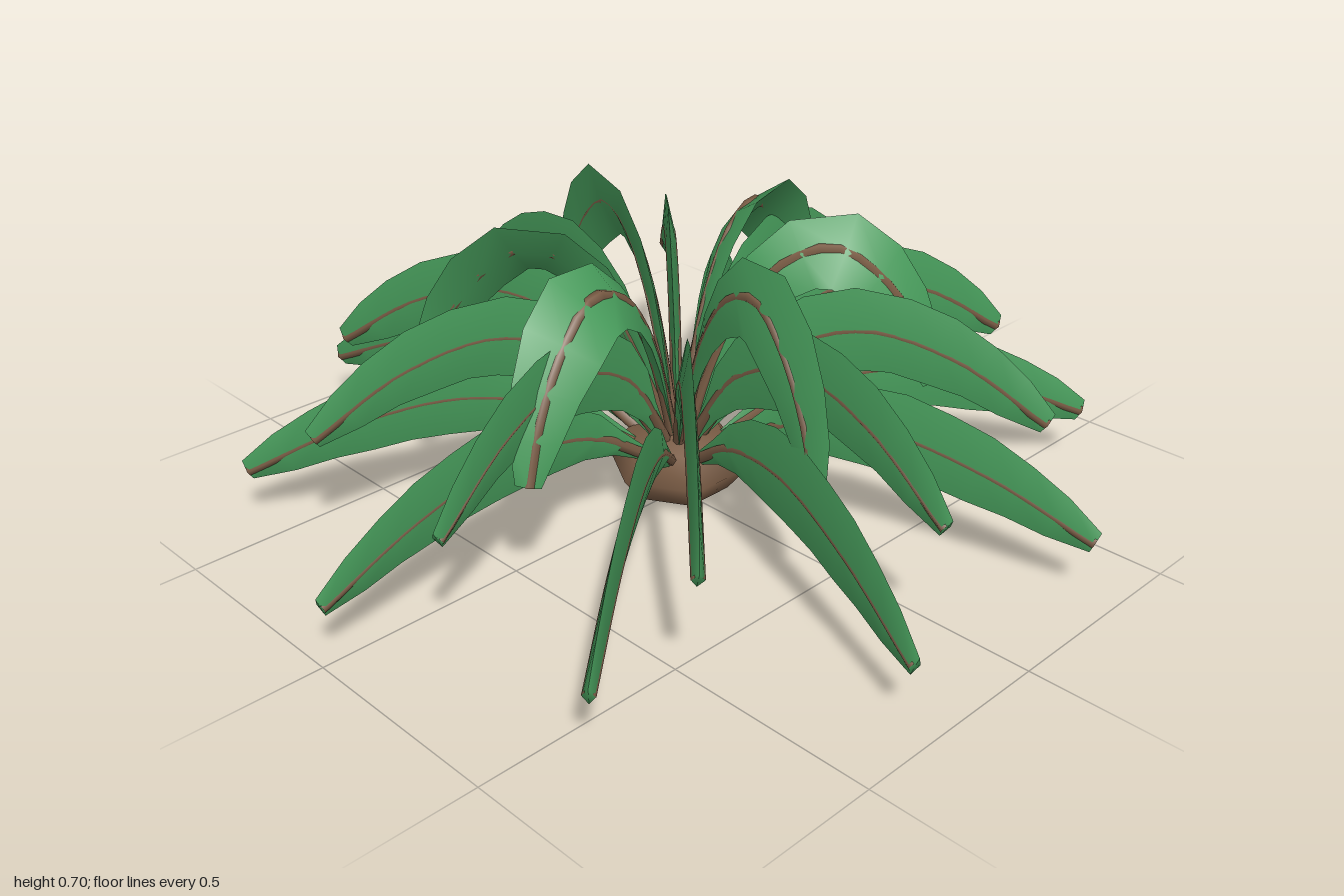
import * as THREE from 'three';

const leafMaterial = new THREE.MeshStandardMaterial({ color: 0x469a5a, side: THREE.DoubleSide });
const woodMaterial = new THREE.MeshStandardMaterial({ color: 0x7a5c45 });

// Half-widths along a blade from base to blunt tip; the last 0 closes the tip
const BROAD = [0.012, 0.015, 0.028, 0.055, 0.08, 0.094, 0.097, 0.09, 0.085, 0.07, 0.055, 0.027, 0];
const LONG_STEM = [0.012, 0.014, 0.022, 0.036, 0.053, 0.07, 0.084, 0.093, 0.09, 0.074, 0.056, 0.028, 0];

// Lens-shaped blade following the rib; roll leans its upper edge towards local +z
function bladeGeometry(curve, widths, roll) {
  const positions = [];
  const index = [];
  const tip = widths.length - 2;
  for (const side of [1, -1]) {
    widths.forEach((w, i) => {
      const u = Math.min(i / tip, 1);
      const p = curve.getPointAt(u);
      const t = curve.getTangentAt(u);
      const across = new THREE.Vector3(-t.y * Math.cos(roll), t.x * Math.cos(roll), Math.sin(roll));
      const out = t.clone().cross(across);
      const bulge = side * Math.min(0.013, w * 0.5);
      const row = positions.length / 3;
      for (const s of [-1, 0, 1]) {
        const q = p.clone().addScaledVector(across, s * w);
        if (s === 0) q.addScaledVector(out, bulge);
        positions.push(q.x, q.y, q.z);
      }
      if (i > tip) return;
      for (const a of [row, row + 1]) {
        if (side > 0) index.push(a, a + 3, a + 1, a + 1, a + 3, a + 4);
        else index.push(a, a + 1, a + 3, a + 1, a + 4, a + 3);
      }
    });
  }
  const geometry = new THREE.BufferGeometry();
  geometry.setAttribute('position', new THREE.Float32BufferAttribute(positions, 3));
  geometry.setIndex(index);
  geometry.computeVertexNormals();
  return geometry;
}

// Ring of arching leaves; rolls repeat around the ring
function leafTier(name, count, startDegrees, widths, path, rolls) {
  const tier = new THREE.Group();
  tier.name = name;
  const curve = new THREE.CatmullRomCurve3(path.map(([r, y]) => new THREE.Vector3(r, y, 0)));
  const ribGeometry = new THREE.TubeGeometry(curve, 24, 0.0145, 6);
  const blades = rolls.map((roll) => bladeGeometry(curve, widths, THREE.MathUtils.degToRad(roll)));
  for (let i = 0; i < count; i++) {
    const leaf = new THREE.Group();
    leaf.name = 'leaf';
    const blade = new THREE.Mesh(blades[i % blades.length], leafMaterial);
    blade.name = 'blade';
    const rib = new THREE.Mesh(ribGeometry, woodMaterial);
    rib.name = 'rib';
    leaf.add(blade, rib);
    leaf.rotation.y = -THREE.MathUtils.degToRad(startDegrees + (i * 360) / count);
    tier.add(leaf);
  }
  return tier;
}

export function createModel() {
  const plant = new THREE.Group();
  plant.name = 'plant';

  // Squat six-sided root bulb
  const bulb = new THREE.Mesh(new THREE.SphereGeometry(0.172, 6, 4), woodMaterial);
  bulb.name = 'bulb';
  bulb.scale.y = 0.52;
  bulb.position.y = 0.09;
  plant.add(bulb);

  // Three tiers of leaves, outermost first
  plant.add(
    leafTier('lowerLeaves', 10, 0, BROAD,
      [[0.03, 0.09], [0.12, 0.15], [0.28, 0.25], [0.5, 0.29], [0.75, 0.24], [0.99, 0.14]], [-4]),
    leafTier('middleLeaves', 10, -12, BROAD,
      [[0.02, 0.1], [0.09, 0.22], [0.22, 0.39], [0.42, 0.475], [0.63, 0.43], [0.84, 0.3]], [-4]),
    leafTier('upperLeaves', 6, -14, LONG_STEM,
      [[0.01, 0.1], [0.06, 0.28], [0.14, 0.47], [0.24, 0.59], [0.35, 0.625], [0.46, 0.55], [0.54, 0.43], [0.585, 0.3]],
      [46, -35, -15]),
  );
  return plant;
}
